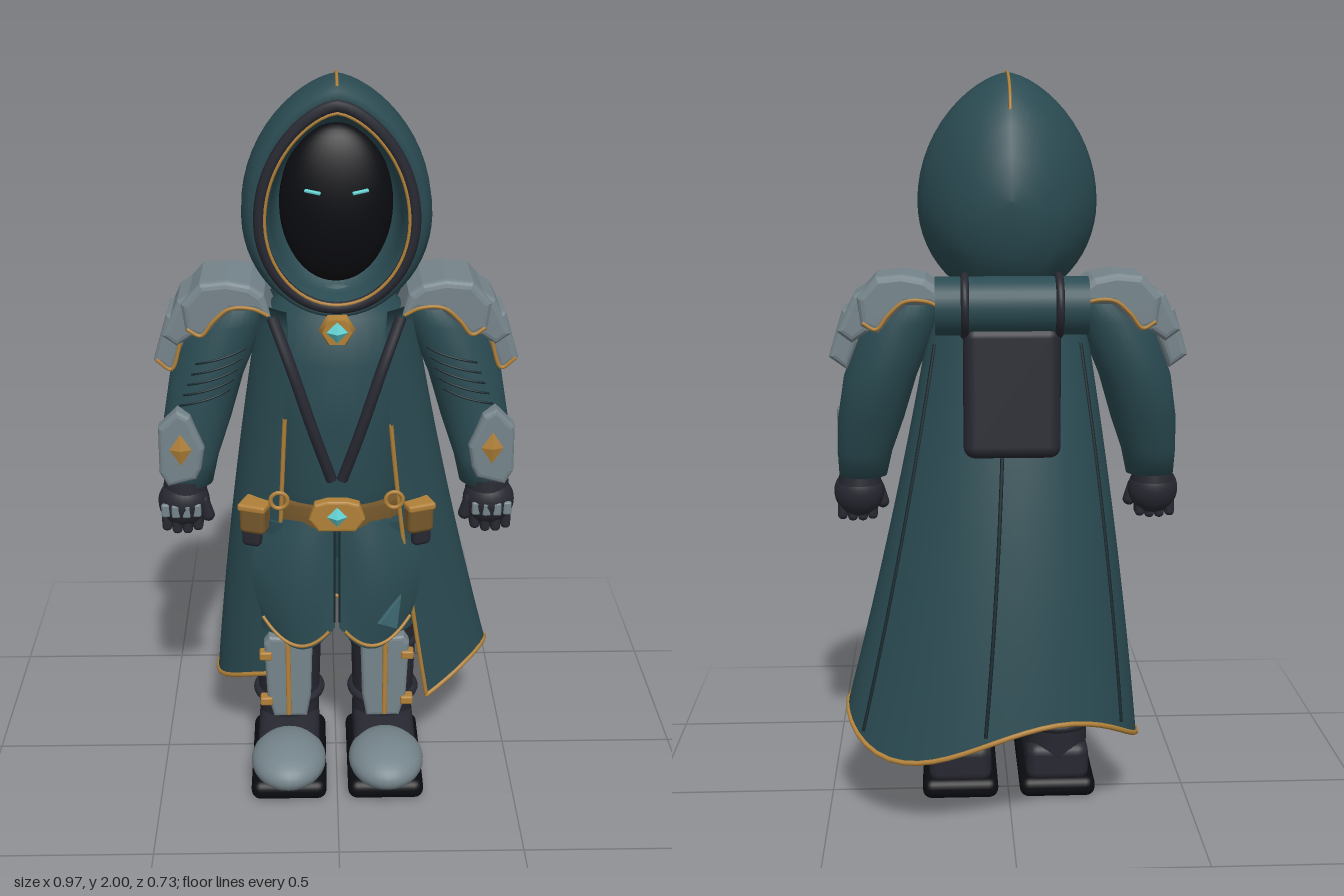
import * as THREE from 'three';
import { RoundedBoxGeometry } from 'three/addons/geometries/RoundedBoxGeometry.js';
import { ParametricGeometry } from 'three/addons/geometries/ParametricGeometry.js';

const TEAL = 0x2a4b52, SEAM = 0x15262b, DARK = 0x272831, BLACK = 0x0b0c11,
  STEEL = 0x75848b, GOLD = 0xb08038, LEATHER = 0x75582c, GEM = 0x62cfd0, PATCH = 0x3d6870;
const V = (x, y, z) => new THREE.Vector3(x, y, z);
const materials = {};
const mat = (color) => materials[color] ??= new THREE.MeshStandardMaterial({ color, side: THREE.DoubleSide });

// Skin between rings of points, each ring closed on itself
function loft(rings) {
  const n = rings[0].length, index = [];
  for (let r = 0; r < rings.length - 1; r++)
    for (let i = 0; i < n; i++) {
      const a = r * n + i, b = r * n + (i + 1) % n;
      index.push(a, a + n, b, b, a + n, b + n);
    }
  const geo = new THREE.BufferGeometry().setFromPoints(rings.flat());
  geo.setIndex(index);
  geo.computeVertexNormals();
  return geo;
}
const ring = (fn, n = 40) => Array.from({ length: n }, (_, i) => fn(i / n * Math.PI * 2));

// Horizontal ellipses [y, cx, cz, rx, rz], closed at both ends
function ellipses(rows) {
  const cap = ([y, cx, cz]) => [y, cx, cz, 0.001, 0.001];
  return loft([cap(rows[0]), ...rows, cap(rows.at(-1))].map(([y, cx, cz, rx, rz]) =>
    ring((a) => V(cx + rx * Math.cos(a), y, cz + rz * Math.sin(a)), 32)));
}

// Bevelled plate from an outline, centred in depth
function plate(points, depth, bevel = 0.008) {
  const shape = new THREE.Shape(points.map(([x, y]) => new THREE.Vector2(x, y)));
  const geo = new THREE.ExtrudeGeometry(shape, { depth: depth - 2 * bevel, bevelEnabled: true,
    bevelSize: bevel, bevelThickness: bevel, bevelOffset: -bevel, bevelSegments: 3 });
  return geo.translate(0, 0, bevel - depth / 2);
}
const tube = (points, r, closed = false) => new THREE.TubeGeometry(
  new THREE.CatmullRomCurve3(points, closed), closed ? 64 : 40, r, 8, closed);
const box = (x, y, z, r = 0.015) => new RoundedBoxGeometry(x, y, z, 3, r);
const line = (n, fn) => Array.from({ length: n + 1 }, (_, i) => fn(i / n));

// Pointed oval of the hood at depth z
function egg(a, z, w, y0, y1) {
  const cy = y0 + 0.44 * (y1 - y0), c = -Math.cos(a), s = Math.sin(a);
  const x = c > 0 ? Math.sign(s) * Math.abs(s) ** 1.3 : s;
  return V(w * x, cy + c * (c > 0 ? y1 - cy : cy - y0), z);
}

// Cape surface: t runs -1..1 around the back, v runs from collar to hem
function cape(t, v, out = 0) {
  const deg = t * 140, a = THREE.MathUtils.degToRad(deg), bulge = Math.sin(Math.PI * v);
  const hem = 0.27 + 0.055 * Math.cos(THREE.MathUtils.degToRad((deg - 105) * 360 / 130)) - 0.03 * Math.max(t, 0) ** 8;
  const hx = 0.2 + 0.2 * v + out, hz = 0.15 + 0.11 * v + 0.012 * bulge + out;
  const tuck = 0.045 * Math.sqrt(v) * Math.sign(t) * t ** 6;
  return V(0.047 * v * v + hx * Math.sin(a) - tuck, 1.41 + (hem - 1.41) * v,
    0.02 - 0.12 * v - 0.008 * bulge - hz * Math.cos(a));
}

// Front skirt panel on side s
function panel(s, u, v, out = 0) {
  const width = 0.165 + 0.07 * Math.sin(Math.min(v * 1.5, 1) * Math.PI / 2) - 0.035 * v ** 4;
  const bottom = 0.44 + 0.07 * Math.abs(2 * u - 1) ** 2;
  return V(s * (0.005 + u * width), 0.86 + (bottom - 0.86) * v,
    0.135 + 0.045 * v + 0.035 * Math.sin(Math.PI * u) * (0.4 + 0.6 * Math.sin(Math.PI * v)) - 0.06 * u * u + out);
}

export function createModel() {
  const model = new THREE.Group();
  const add = (name, geo, color, pos = [0, 0, 0], rot = [0, 0, 0]) => {
    const mesh = new THREE.Mesh(geo, mat(color));
    mesh.name = name;
    mesh.position.set(...pos);
    mesh.rotation.set(...rot);
    model.add(mesh);
  };

  // Hood: inner lining, rim, then the outer shell to the back
  const hood = [[-0.03, 0.001, 1.66, 1.67], [-0.02, 0.15, 1.48, 1.86], [0.1, 0.165, 1.45, 1.9], [0.16, 0.178, 1.435, 1.93],
    [0.176, 0.198, 1.422, 1.95], [0.168, 0.22, 1.408, 1.972], [0.13, 0.237, 1.4, 1.992], [0.05, 0.24, 1.395, 1.996],
    [-0.03, 0.224, 1.405, 1.98], [-0.1, 0.18, 1.43, 1.943], [-0.15, 0.132, 1.468, 1.86], [-0.182, 0.085, 1.54, 1.785],
    [-0.198, 0.04, 1.61, 1.725], [-0.203, 0.001, 1.669, 1.671]];
  add('hood', loft(hood.map((h) => ring((a) => egg(a, ...h), 56))), TEAL);
  add('hoodRim', tube(ring((a) => egg(a, 0.183, 0.19, 1.437, 1.94)), 0.016, true), DARK);
  add('hoodTrim', tube(ring((a) => egg(a, 0.192, 0.178, 1.447, 1.925)), 0.0045, true), GOLD);
  add('hoodRidge', tube([V(0, 1.979, 0.155), V(0, 1.993, 0.12), V(0, 1.997, 0.05), V(0, 1.981, -0.03), V(0, 1.945, -0.1),
    V(0, 1.9, -0.13)], 0.004), GOLD);
  add('face', new THREE.SphereGeometry(1, 32, 24).scale(0.145, 0.205, 0.07), BLACK, [0, 1.665, 0.03]);

  // Body, cape and its trim
  add('torso', ellipses([[0.7, 0, 0.02, 0.18, 0.11], [0.9, 0, 0.02, 0.17, 0.13], [1.1, 0, 0.02, 0.19, 0.145],
    [1.27, 0, 0.01, 0.205, 0.15], [1.38, 0, 0, 0.19, 0.125], [1.46, 0, 0, 0.1, 0.08]]), TEAL);
  add('cape', new ParametricGeometry((u, v, p) => p.copy(cape(2 * u - 1, v)), 64, 24), TEAL);
  add('capeHemTrim', tube(line(48, (u) => cape(2 * u - 1, 1)), 0.007), GOLD);
  for (const t of [-0.42, 0.03, 0.45])
    add('capeSeam', tube(line(12, (k) => cape(t, 0.1 + 0.88 * k, 0.001)), 0.005), SEAM);

  // Bedroll and backpack
  add('bedroll', new THREE.CylinderGeometry(0.075, 0.075, 0.39, 32), TEAL, [0, 1.41, -0.197], [0, 0, Math.PI / 2]);
  add('backpack', box(0.25, 0.34, 0.075, 0.03), DARK, [0, 1.19, -0.22], [0.06, 0, 0]);

  // Collar brooch, belt and buckle
  add('brooch', new THREE.CylinderGeometry(0.038, 0.047, 0.025, 6), GOLD, [0, 1.375, 0.182], [Math.PI / 2, Math.PI / 6, 0]);
  add('broochGem', new THREE.OctahedronGeometry(0.03).scale(1, 1, 0.7), GEM, [0, 1.375, 0.193]);
  add('belt', ellipses([[0.8, 0, 0.02, 0.2, 0.137], [0.805, 0, 0.02, 0.205, 0.142], [0.86, 0, 0.02, 0.2, 0.142],
    [0.865, 0, 0.02, 0.195, 0.137]]), LEATHER);
  add('buckle', plate([[-0.075, 0.845], [-0.05, 0.81], [0.05, 0.81], [0.075, 0.845], [0.06, 0.89], [0.025, 0.9],
    [-0.025, 0.9], [-0.06, 0.89]], 0.035), GOLD, [0, 0, 0.175]);
  add('buckleGem', new THREE.OctahedronGeometry(0.035).scale(1, 1.05, 0.7), GEM, [0, 0.855, 0.187]);

  for (const s of [1, -1]) {
    const mx = (pts) => pts.map(([x, y]) => [s * x, y]);
    const path = (pts) => pts.map(([x, y, z]) => V(s * x, y, z));

    // Eye slit
    add('eye', box(0.042, 0.008, 0.012, 0.003), GEM, [s * 0.06, 1.71, 0.094], [0, s * 0.25, s * 0.15]);

    // Chest strap, cape edge and bedroll strap
    add('chestStrap', tube(path([[0.165, 1.39, 0.118], [0.115, 1.26, 0.163], [0.06, 1.09, 0.174], [0.014, 0.95, 0.16]]), 0.015), DARK);
    add('capeEdgeTrim', tube(line(16, (k) => cape(s, 0.27 + 0.73 * k)), 0.006), GOLD);
    add('bedrollStrap', new THREE.TorusGeometry(0.075, 0.011, 10, 36), DARK, [s * 0.12, 1.41, -0.197], [0, Math.PI / 2, 0]);

    // Belt ring, pouch and skirt panel
    add('beltRing', new THREE.TorusGeometry(0.023, 0.006, 8, 24), GOLD, [s * 0.155, 0.875, 0.13]);
    add('pouch', box(0.075, 0.085, 0.07), LEATHER, [s * 0.22, 0.815, 0.1], [0, s * 0.35, 0]);
    add('pouchFlap', box(0.08, 0.022, 0.076, 0.008), GOLD, [s * 0.22, 0.85, 0.1], [0, s * 0.35, 0]);
    add('pouchBase', box(0.055, 0.06, 0.05), DARK, [s * 0.228, 0.755, 0.09], [0, s * 0.35, 0]);
    add('skirtPanel', new ParametricGeometry((u, v, p) => p.copy(panel(s, u, v)), 28, 24), TEAL);
    add('skirtTrim', tube(line(24, (u) => panel(s, 0.08 + 0.9 * u, 0.97, 0.003)), 0.005), GOLD);
    add('skirtSeam', tube(line(12, (v) => panel(s, 0.01, v * 0.95)), 0.003), SEAM);

    // Sleeve and its folds
    add('sleeve', ellipses([[1.42, 0.25, 0, 0.07, 0.07], [1.35, 0.285, 0, 0.1, 0.095], [1.2, 0.345, 0.01, 0.098, 0.1],
      [1.08, 0.373, 0.03, 0.09, 0.085], [0.98, 0.393, 0.055, 0.075, 0.068], [0.91, 0.4, 0.07, 0.066, 0.058]]
      .map(([y, x, ...r]) => [y, s * x, ...r])), TEAL);
    for (let i = 0; i < 5; i++)
      add('sleeveFold', tube(line(8, (k) => {
        const a = 2.4 - 1.3 * k, y = 1.29 - 0.028 * i - 0.035 * k, m = (1.35 - y) / 0.15;
        return V(s * (0.285 + 0.06 * m + 0.098 * Math.cos(a)), y, 0.01 * m + (0.095 + 0.005 * m) * Math.sin(a));
      }), 0.003), SEAM);

    // Layered shoulder armour
    add('shoulderPlate', plate(mx([[0.165, 1.38], [0.185, 1.445], [0.22, 1.47], [0.28, 1.482], [0.35, 1.475], [0.4, 1.42],
      [0.39, 1.345], [0.345, 1.325], [0.31, 1.365], [0.27, 1.4], [0.21, 1.4]]), 0.215, 0.018), STEEL);
    for (const f of [1, -1])
      add('shoulderTrim', tube(path([[0.175, 1.39, f * 0.106], [0.215, 1.41, f * 0.109], [0.275, 1.41, f * 0.11],
        [0.318, 1.375, f * 0.11], [0.35, 1.338, f * 0.109], [0.385, 1.355, f * 0.106]]), 0.005), GOLD);
    add('middleShoulderPlate', plate(mx([[0.35, 1.46], [0.41, 1.425], [0.455, 1.33], [0.415, 1.3], [0.37, 1.33]]), 0.185, 0.016), STEEL);
    add('lowerShoulderPlate', plate(mx([[0.4, 1.4], [0.44, 1.385], [0.478, 1.26], [0.43, 1.225], [0.4, 1.3]]), 0.155, 0.016), STEEL, [0, 0, 0.008]);
    add('lowerShoulderTrim', tube(path([[0.405, 1.31, 0.086], [0.432, 1.238, 0.086], [0.47, 1.265, 0.086]]), 0.005), GOLD);

    // Forearm guard with diamond inlay
    add('forearmGuard', plate(mx([[0.36, 0.97], [0.375, 0.94], [0.45, 0.92], [0.472, 0.96], [0.47, 1.09], [0.42, 1.14],
      [0.385, 1.12], [0.35, 1.03]]), 0.055, 0.014), STEEL, [0, 0, 0.112]);
    add('forearmInlay', new THREE.OctahedronGeometry(0.045).scale(0.65, 1, 0.25), GOLD, [s * 0.412, 1.03, 0.14]);

    // Gloved fist
    add('cuff', new THREE.CylinderGeometry(0.055, 0.06, 0.04, 24), DARK, [s * 0.41, 0.905, 0.08]);
    add('fist', new THREE.SphereGeometry(1, 24, 18).scale(0.07, 0.07, 0.058), DARK, [s * 0.413, 0.858, 0.09]);
    for (let i = 0; i < 4; i++) {
      const x = s * (0.376 + i * 0.028), bow = Math.abs(i - 1.5) * 0.006;
      add('finger', box(0.027, 0.075, 0.055, 0.012), DARK, [x, 0.808 + bow, 0.104 - bow]);
      add('knucklePlate', box(0.023, 0.038, 0.016, 0.006), STEEL, [x, 0.85, 0.142 - bow]);
    }
    add('thumb', new THREE.CapsuleGeometry(0.018, 0.045, 6, 12), DARK, [s * 0.355, 0.845, 0.105], [0, 0, -s * 0.3]);

    // Leg and boot
    add('thigh', new THREE.CylinderGeometry(0.1, 0.1, 0.35, 24), TEAL, [s * 0.125, 0.63, 0.03]);
    add('bootShaft', new THREE.CylinderGeometry(0.097, 0.085, 0.4, 28), DARK, [s * 0.137, 0.3, 0.005]);
    for (const y of [0.21, 0.385])
      add('bootStrap', new THREE.TorusGeometry(0.091, 0.013, 10, 32), DARK, [s * 0.137, y, 0.005], [Math.PI / 2, 0, 0]);
    add('bootFoot', box(0.175, 0.11, 0.3, 0.03), DARK, [s * 0.137, 0.1, 0.07]);
    add('sole', box(0.213, 0.058, 0.37, 0.026), BLACK, [s * 0.137, 0.029, 0.097]);
    add('toeCap', new THREE.SphereGeometry(1, 28, 20).scale(0.105, 0.06, 0.13), STEEL, [s * 0.137, 0.118, 0.235]);

    // Shin guard with ridge and clasps
    add('shinGuard', plate(mx([[0.085, 0.18], [0.18, 0.18], [0.198, 0.25], [0.205, 0.42], [0.19, 0.445], [0.085, 0.435],
      [0.068, 0.41], [0.073, 0.25]]), 0.05, 0.012), STEEL, [0, 0, 0.1]);
    add('shinRidge', box(0.014, 0.24, 0.016, 0.005), GOLD, [s * 0.137, 0.31, 0.127]);
    for (const y of [0.235, 0.385])
      add('shinClasp', box(0.036, 0.026, 0.034, 0.006), GOLD, [s * 0.2, y, 0.115]);
  }

  // Cloth patch on the left skirt panel
  add('patch', plate([[0.11, 0.53], [0.165, 0.505], [0.175, 0.61], [0.145, 0.575]], 0.012, 0.003), PATCH, [0.005, 0, 0.222], [0, 0.25, 0]);
  return model;
}
